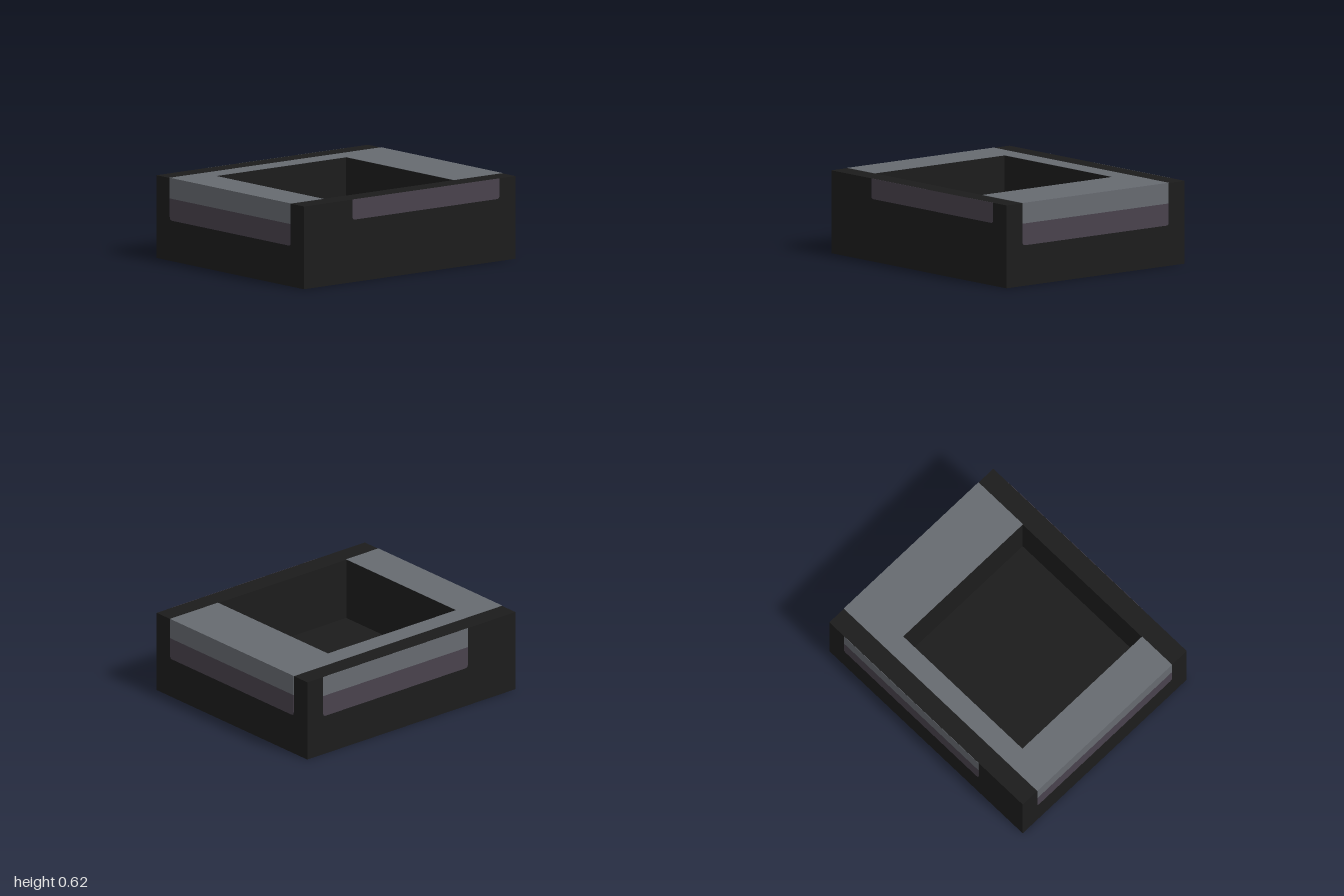
import * as THREE from 'three';

const HALF_W = 0.844, HALF_D = 0.998, TOP = 0.613, FLOOR = 0.15, T = 0.002;

const dark = new THREE.MeshStandardMaterial({ name: 'charcoal', color: 0x1c1c1c });
const grey = new THREE.MeshStandardMaterial({ name: 'slate grey', color: 0x666a70 });
const purple = new THREE.MeshStandardMaterial({ name: 'dusky purple', color: 0x49424d });

// Flat panel whose lower corners can be rounded, facing +z, standing on y = 0
function panel(name, width, height, r, material) {
  const w = width / 2;
  const s = new THREE.Shape();
  s.moveTo(-w, height);
  s.lineTo(-w, r);
  if (r) s.quadraticCurveTo(-w, 0, -w + r, 0);
  s.lineTo(w - r, 0);
  if (r) s.quadraticCurveTo(w, 0, w, r);
  s.lineTo(w, height);
  s.closePath();
  const geo = new THREE.ExtrudeGeometry(s, { depth: T, bevelEnabled: false, curveSegments: 5 });
  const mesh = new THREE.Mesh(geo, material);
  mesh.name = name;
  return mesh;
}

// Outline in x and z, raised upward by a height; a hole runs the opposite way round
function slab(name, points, height, material, hole) {
  const toShape = (C, list) => new C(list.map(([x, z]) => new THREE.Vector2(x, -z)));
  const s = toShape(THREE.Shape, points);
  if (hole) s.holes.push(toShape(THREE.Path, hole));
  const geo = new THREE.ExtrudeGeometry(s, { depth: height, bevelEnabled: false });
  geo.rotateX(-Math.PI / 2);
  const mesh = new THREE.Mesh(geo, material);
  mesh.name = name;
  return mesh;
}

export function createModel() {
  const model = new THREE.Group();
  model.name = 'openTray';

  // Solid base and the walls around the square well
  const outline = [[-HALF_W, HALF_D], [HALF_W, HALF_D], [HALF_W, -HALF_D], [-HALF_W, -HALF_D]];
  const well = [[-0.54, -0.54], [0.69, -0.54], [0.69, 0.69], [-0.54, 0.69]];
  const base = slab('base', outline, FLOOR, dark);
  const walls = slab('walls', outline, TOP - FLOOR, dark, well);
  walls.position.y = FLOOR;
  model.add(base, walls);

  // C-shaped grey rim, open where the well meets the dark left strip
  const rim = slab('topRim', [
    [-0.695, -1], [0.693, -1], [0.693, -0.54], [-0.54, -0.54],
    [-0.54, 0.69], [0.693, 0.69], [0.693, 1], [-0.695, 1],
  ], T, grey);
  rim.position.y = TOP;
  model.add(rim);

  // Side panels: grey band above a purple band, or one purple band
  function side(name, x, z, angle, width, twoBands) {
    const g = new THREE.Group();
    g.name = name;
    const low = panel(name + 'PurpleBand', width, twoBands ? 0.162 : TOP - 0.462, 0.025, purple);
    low.position.y = twoBands ? 0.3 : 0.462;
    g.add(low);
    if (twoBands) {
      const high = panel(name + 'GreyBand', width, TOP - 0.462, 0, grey);
      high.position.y = 0.462;
      g.add(high);
    }
    g.position.set(x, 0, z);
    g.rotation.y = angle;
    model.add(g);
  }
  side('front', 0, HALF_D, 0, 1.385, true);
  side('back', 0, -HALF_D, Math.PI, 1.385, true);
  side('rightSide', -HALF_W, -0.153, -Math.PI / 2, 1.388, true);
  side('leftSide', HALF_W, -0.153, Math.PI / 2, 1.388, false);

  return model;
}
